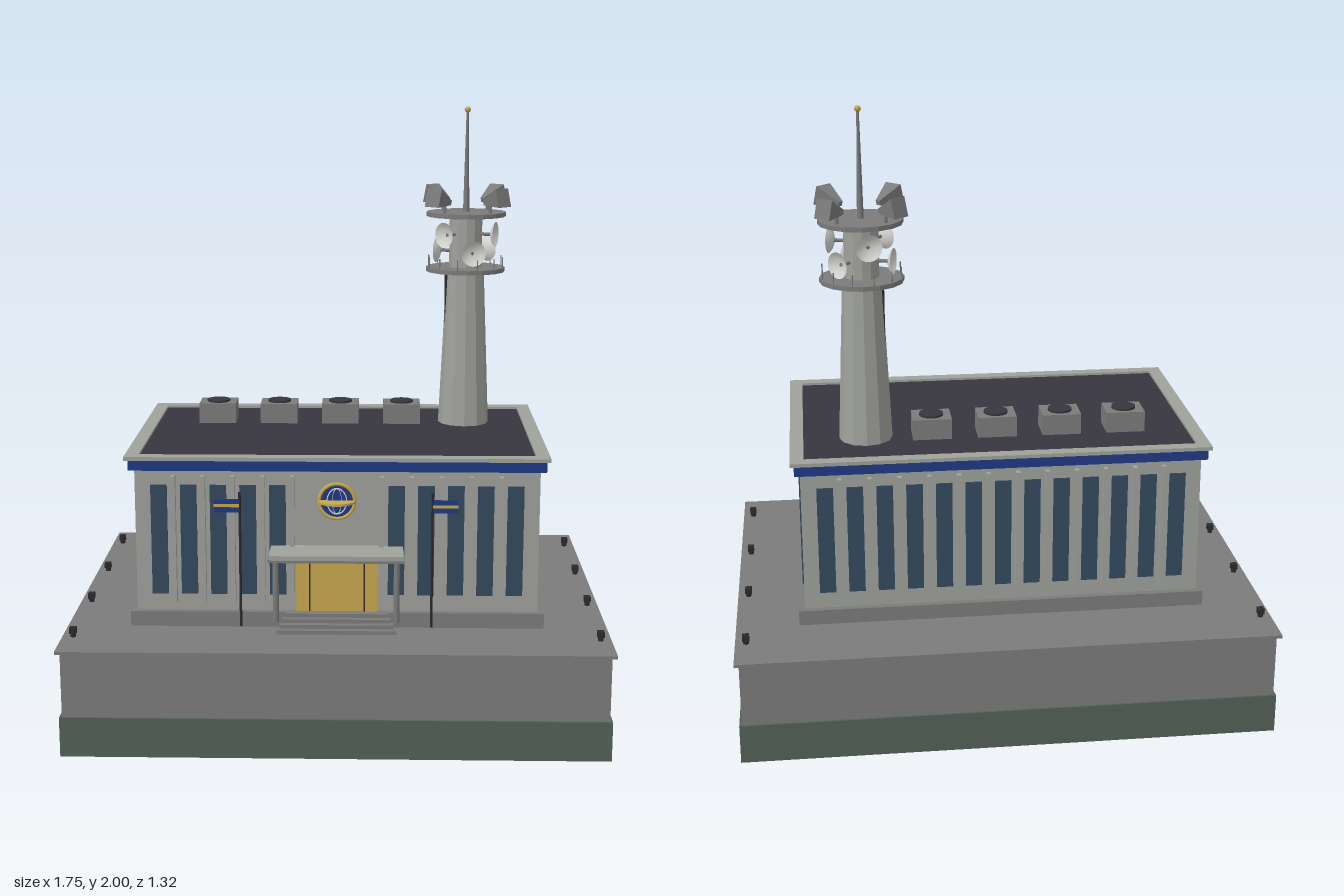
import * as THREE from 'three';

const mat = (name, color, extra = {}) => new THREE.MeshStandardMaterial({ name, color, ...extra });

export function createModel() {
  const root = new THREE.Group();
  root.name = 'harbourStation';
  const M = {
    stone: mat('stone', 0x9fa19b),
    concrete: mat('concrete', 0x7b7b7b),
    green: mat('dark green', 0x526056),
    roof: mat('roof', 0x37353e),
    blue: mat('blue', 0x1f3a85),
    glass: mat('glass', 0x34495e),
    gold: mat('gold', 0xc8a84e),
    dark: mat('black metal', 0x2b2b2e),
    white: mat('dish white', 0xd4d4d0),
  };
  M.white.side = THREE.DoubleSide;

  const add = (parent, name, geo, m, x = 0, y = 0, z = 0) => {
    const mesh = new THREE.Mesh(geo, m);
    mesh.name = name;
    mesh.position.set(x, y, z);
    parent.add(mesh);
    return mesh;
  };
  // box given by its x centre, bottom and top y, and z centre
  const box = (name, m, w, y0, y1, d, x = 0, z = 0, parent = root) =>
    add(parent, name, new THREE.BoxGeometry(w, y1 - y0, d), m, x, (y0 + y1) / 2, z);
  // cylinder given by bottom and top radius and y
  const cyl = (name, m, r0, r1, y0, y1, n, x = 0, z = 0, parent = root) =>
    add(parent, name, new THREE.CylinderGeometry(r1, r0, y1 - y0, n).toNonIndexed(), m, x, (y0 + y1) / 2, z);
  const flat = mesh => { mesh.geometry.computeVertexNormals(); return mesh; };

  // quay base
  box('baseFoot', M.green, 1.736, 0, 0.13, 1.306);
  box('baseWall', M.concrete, 1.72, 0.13, 0.342, 1.292);
  box('deckSlab', M.concrete, 1.75, 0.34, 0.35, 1.316);
  for (const x of [-0.84, 0.84]) for (const z of [-0.517, -0.172, 0.172, 0.517]) {
    cyl('bollard', M.dark, 0.009, 0.009, 0.35, 0.37, 8, x, z);
    box('bollardHead', M.dark, 0.022, 0.362, 0.381, 0.022, x, z);
  }

  // building body
  box('plinth', M.concrete, 1.34, 0.35, 0.4, 0.82);
  box('walls', M.stone, 1.3, 0.4, 0.872, 0.78);
  box('blueBand', M.blue, 1.336, 0.87, 0.905, 0.82);
  box('roofDeck', M.roof, 1.28, 0.9, 0.909, 0.76);
  const rim = new THREE.Shape([[-0.68, -0.42], [0.68, -0.42], [0.68, 0.42], [-0.68, 0.42]].map(p => new THREE.Vector2(...p)));
  rim.holes.push(new THREE.Path([[-0.636, -0.379], [-0.636, 0.379], [0.636, 0.379], [0.636, -0.379]].map(p => new THREE.Vector2(...p))));
  add(root, 'roofRim', new THREE.ExtrudeGeometry(rim, { depth: 0.012, bevelEnabled: false }), M.stone, 0, 0.905, 0).rotation.x = -Math.PI / 2;

  // windows and pilasters, leaving the middle of the front free
  for (const s of [1, -1]) {
    for (let i = -6; i <= 6; i++) {
      if (s > 0 && Math.abs(i) < 2) continue;
      box('window', M.glass, 0.053, 0.455, 0.82, 0.008, i * 0.0955, s * 0.391);
    }
    for (let i = -5.5; i <= 5.5; i++) {
      if (s > 0 && Math.abs(i) < 1) continue;
      box('pilaster', M.stone, 0.014, 0.43, 0.852, 0.02, i * 0.0955, s * 0.4);
    }
    for (let i = -3; i <= 3; i++) box('sideWindow', M.glass, 0.008, 0.455, 0.82, 0.053, s * 0.651, i * 0.099);
  }

  // entrance with doors, canopy and steps
  box('doors', M.gold, 0.264, 0.4, 0.585, 0.009, 0, 0.392);
  for (const x of [-0.088, 0.088]) box('doorSeam', M.dark, 0.005, 0.4, 0.585, 0.004, x, 0.397);
  box('canopy', M.stone, 0.425, 0.605, 0.62, 0.122, 0, 0.45);
  box('canopyEdge', M.concrete, 0.432, 0.597, 0.607, 0.122, 0, 0.45);
  for (const x of [-0.192, 0.192]) cyl('canopyColumn', M.concrete, 0.01, 0.01, 0.4, 0.6, 10, x, 0.5);
  for (let i = 0; i < 4; i++) {
    box('step', M.concrete, 0.385 - i * 0.018, 0.35 + i * 0.0125, 0.3625 + i * 0.0125, 0.024, 0, 0.47 - i * 0.019);
  }

  // round medallion over the door
  const medal = new THREE.Group();
  medal.name = 'medallion';
  medal.position.set(0, 0.77, 0.39);
  root.add(medal);
  add(medal, 'medallionDisc', new THREE.CylinderGeometry(0.056, 0.056, 0.02, 32), M.blue).rotation.x = Math.PI / 2;
  add(medal, 'medallionRing', new THREE.TorusGeometry(0.057, 0.006, 8, 40), M.gold, 0, 0, 0.009);
  for (const w of [0.35, 0.75]) {
    add(medal, 'medallionArc', new THREE.TorusGeometry(0.042, 0.0025, 6, 32), M.white, 0, 0, 0.01).scale.x = w;
  }
  add(medal, 'medallionShelf', new THREE.CylinderGeometry(0.063, 0.063, 0.007, 32), M.gold);

  // flags on poles, one on each side
  for (const s of [-1, 1]) {
    cyl('flagPole', M.dark, 0.004, 0.004, 0.39, 0.83, 8, s * 0.302, 0.517);
    box('flag', M.blue, 0.08, 0.765, 0.807, 0.005, s * 0.343, 0.517);
    box('flagStripe', M.gold, 0.08, 0.782, 0.792, 0.008, s * 0.343, 0.517);
  }

  // roof ventilation units
  for (let i = 0; i < 4; i++) {
    const x = -0.43 + i * 0.2145;
    box('ventUnit', M.concrete, 0.128, 0.908, 0.978, 0.105, x, -0.175);
    cyl('ventFan', M.roof, 0.04, 0.04, 0.978, 0.985, 16, x, -0.175);
  }

  // radio tower
  const tower = new THREE.Group();
  tower.name = 'tower';
  tower.position.set(0.43, 0, -0.174);
  root.add(tower);
  flat(cyl('towerShaft', M.stone, 0.088, 0.064, 0.905, 1.445, 12, 0, 0, tower));
  flat(cyl('towerNeck', M.stone, 0.056, 0.056, 1.455, 1.632, 12, 0, 0, tower));
  for (const y of [1.441, 1.63]) flat(cyl('platform', M.concrete, 0.136, 0.136, y, y + 0.015, 16, 0, 0, tower));
  box('ladder', M.dark, 0.01, 0.91, 1.441, 0.025, -0.065, 0, tower);
  for (let i = 0; i < 12; i++) {
    const a = (i + 0.5) * Math.PI / 6;
    cyl('railPost', M.concrete, 0.002, 0.002, 1.455, 1.492, 5, Math.cos(a) * 0.13, Math.sin(a) * 0.13, tower);
  }

  // six dishes, alternating in height around the neck
  const bowl = new THREE.LatheGeometry(
    [[0.0001, 0], [0.016, 0.002], [0.031, 0.008], [0.043, 0.017]].map(p => new THREE.Vector2(...p)), 20).rotateX(Math.PI / 2);
  for (let i = 0; i < 6; i++) {
    const dish = new THREE.Group();
    dish.name = 'dish';
    dish.rotation.y = (12 + i * 60) * Math.PI / 180;
    dish.position.y = i % 2 ? 1.57 : 1.51;
    tower.add(dish);
    add(dish, 'dishBowl', bowl, M.white, 0, 0, 0.088);
    add(dish, 'dishArm', new THREE.CylinderGeometry(0.006, 0.006, 0.045, 8), M.concrete, 0, 0, 0.068).rotation.x = Math.PI / 2;
  }

  // four horns on the upper platform, wide ends outward and up
  for (let i = 0; i < 4; i++) {
    const horn = new THREE.Group();
    horn.name = 'horn';
    horn.rotation.y = Math.PI / 4 + i * Math.PI / 2;
    tower.add(horn);
    const g = new THREE.CylinderGeometry(0.045, 0.011, 0.085, 4, 1).rotateY(Math.PI / 4).toNonIndexed();
    g.computeVertexNormals();
    add(horn, 'hornBody', g, M.concrete, 0, 1.69, 0.125).rotation.x = Math.PI / 2 - 0.25;
    cyl('hornStand', M.concrete, 0.006, 0.006, 1.64, 1.688, 6, 0, 0.108, horn);
  }

  // mast
  cyl('mast', M.concrete, 0.011, 0.004, 1.64, 1.985, 8, 0, 0, tower);
  add(tower, 'mastTip', new THREE.SphereGeometry(0.0105, 12, 8), M.gold, 0, 1.9895, 0);
  return root;
}
